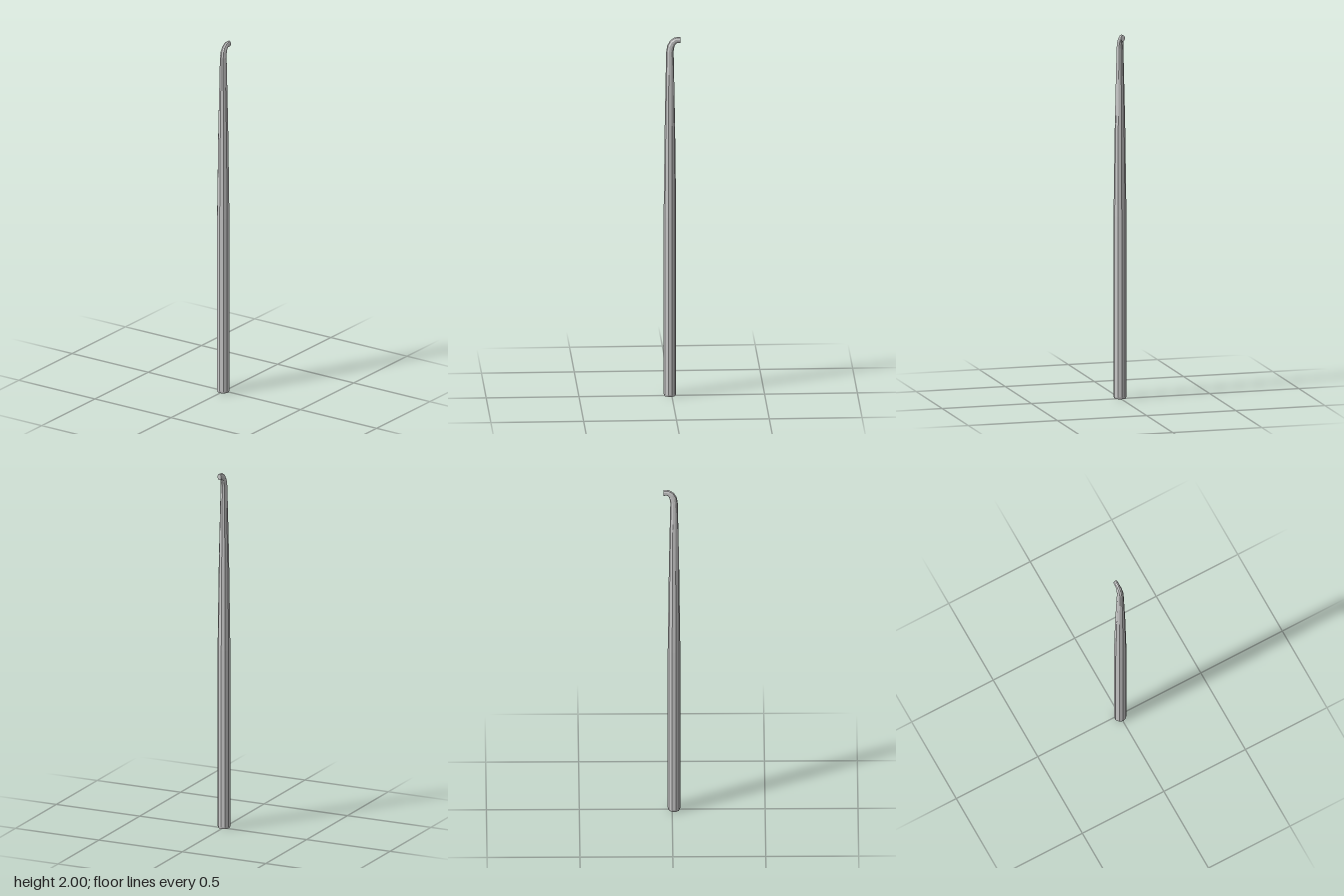
import * as THREE from 'three';

const SIDES = 10;

// Skins a chain of elliptical rings: [y, z, tilt in degrees towards the back, half width, half depth]
function sweep(rings) {
  const positions = [];
  const index = [];
  for (const [y, z, tilt, rx, rv] of rings) {
    const t = THREE.MathUtils.degToRad(tilt);
    for (let i = 0; i < SIDES; i++) {
      const a = (i / SIDES) * Math.PI * 2;
      const v = rv * Math.cos(a);
      positions.push(rx * Math.sin(a), y + v * Math.sin(t), z + v * Math.cos(t));
    }
  }
  for (let r = 0; r < rings.length - 1; r++) {
    for (let i = 0; i < SIDES; i++) {
      const j = (i + 1) % SIDES;
      const a = r * SIDES + i, b = r * SIDES + j;
      index.push(a, b, b + SIDES, a, b + SIDES, a + SIDES);
    }
  }
  // Flat end caps
  const last = (rings.length - 1) * SIDES;
  for (let i = 1; i < SIDES - 1; i++) {
    index.push(0, i + 1, i);
    index.push(last, last + i, last + i + 1);
  }
  const geometry = new THREE.BufferGeometry();
  geometry.setAttribute('position', new THREE.Float32BufferAttribute(positions, 3));
  geometry.setIndex(index);
  geometry.computeVertexNormals();
  return geometry;
}

export function createModel() {
  const group = new THREE.Group();
  group.name = 'hookedRod';
  const material = new THREE.MeshStandardMaterial({ color: 0xcccccc, flatShading: true });

  const rod = new THREE.Mesh(sweep([
    // bevelled foot and straight handle
    [0, 0.01, 0, 0.031, 0.031],
    [0.01, 0.01, 0, 0.035, 0.034],
    [1.0, 0.01, 0, 0.035, 0.034],
    // tapering shaft
    [1.5, 0.01, 0, 0.028, 0.028],
    [1.8, 0.01, 0, 0.021, 0.0225],
    [1.92, 0.01, 0, 0.018, 0.02],
    // bend towards the back, flattening into the hook tip
    [1.947, 0.006, 25, 0.0165, 0.02],
    [1.968, -0.004, 50, 0.0145, 0.019],
    [1.98, -0.018, 75, 0.0125, 0.018],
    [1.983, -0.028, 90, 0.0115, 0.017],
    [1.983, -0.046, 90, 0.0115, 0.017],
  ]), material);
  rod.name = 'rodWithHook';
  group.add(rod);
  return group;
}
